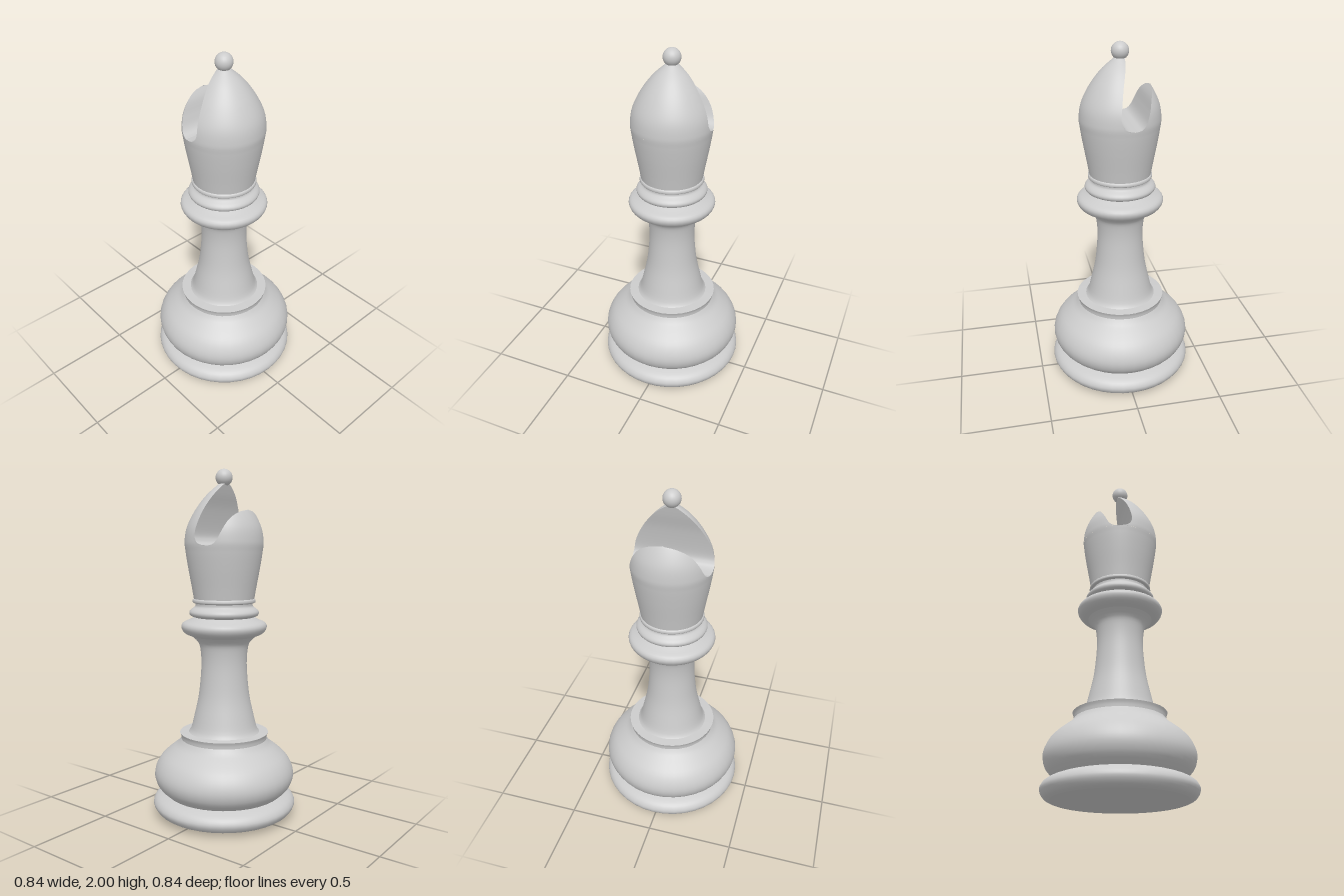
import * as THREE from 'three';

const material = new THREE.MeshStandardMaterial({ color: 0xcccccc });
const SEGMENTS = 40;
const vectors = (pairs) => pairs.map(([x, y]) => new THREE.Vector2(x, y));

// Each turned part: name, smooth profile (radius, height) from bottom to top
const turnedParts = [
  ['underside', [[0, 0], [0.2, 0.005], [0.37, 0.02]]],
  ['footRing', [[0.37, 0.02], [0.4, 0.035], [0.42, 0.07], [0.41, 0.1], [0.385, 0.12], [0.345, 0.135]]],
  ['baseBulge', [[0.345, 0.135], [0.39, 0.18], [0.41, 0.235], [0.402, 0.29], [0.37, 0.345], [0.32, 0.39], [0.275, 0.425], [0.252, 0.455]]],
  ['baseLip', [[0.252, 0.455], [0.254, 0.475], [0.26, 0.492]]],
  ['baseLipTop', [[0.26, 0.492], [0.205, 0.495]]],
  ['stem', [[0.21, 0.492], [0.192, 0.52], [0.172, 0.6], [0.15, 0.7], [0.138, 0.8], [0.132, 0.9], [0.137, 0.98], [0.15, 1.025], [0.185, 1.06]]],
  ['collar', [[0.185, 1.06], [0.228, 1.08], [0.247, 1.112], [0.237, 1.138], [0.2, 1.155], [0.17, 1.17]]],
  ['neckRing', [[0.17, 1.17], [0.194, 1.18], [0.201, 1.198], [0.19, 1.215], [0.167, 1.232], [0.165, 1.25]]],
  ['headRim', [[0.165, 1.25], [0.18, 1.255], [0.18, 1.27], [0.172, 1.277]]],
];

// Outline of the head, and the two sides of the slot rising from its lowest line
const headOutline = new THREE.SplineCurve(vectors([
  [0.174, 1.275], [0.185, 1.34], [0.205, 1.45], [0.219, 1.54], [0.224, 1.6],
  [0.21, 1.68], [0.165, 1.77], [0.105, 1.85], [0.045, 1.905], [0.012, 1.93],
])).getPoints(180);
const SLOT_Y = 1.575;
const slotRight = [[-0.05, SLOT_Y], [0, 1.583], [0.027, 1.605], [0.036, 1.65], [0.017, 1.77], [-0.008, 1.86], [-0.025, 1.928]];
const slotLeft = [[-0.05, SLOT_Y], [-0.08, 1.583], [-0.103, 1.61], [-0.122, 1.66], [-0.142, 1.725], [-0.17, 1.775]];

function headRadius(y) {
  const i = Math.max(1, headOutline.findIndex((p) => p.y >= y));
  const a = headOutline[i - 1], b = headOutline[i];
  return THREE.MathUtils.lerp(a.x, b.x, (y - a.y) / (b.y - a.y));
}

// Smooth surface over a grid of points, given as rows
function gridGeometry(rows) {
  const cols = rows[0].length, index = [];
  for (let i = 0; i < rows.length - 1; i++) {
    for (let j = 0; j < cols - 1; j++) {
      const a = i * cols + j, b = a + 1, c = b + cols, d = a + cols;
      index.push(a, b, d, b, c, d);
    }
  }
  const geometry = new THREE.BufferGeometry();
  geometry.setAttribute('position', new THREE.Float32BufferAttribute(rows.flat(2), 3));
  geometry.setIndex(index);
  geometry.computeVertexNormals();
  return geometry;
}

// One side of the split head: an outer shell and a slot wall; side is +1 or -1
function headHalf(name, slotPoints, side) {
  const shell = [], wall = [];
  for (const p of new THREE.SplineCurve(vectors(slotPoints)).getPoints(48)) {
    const r = headRadius(p.y);
    const phi = Math.acos(THREE.MathUtils.clamp((side * p.x) / r, -1, 1));
    const shellRow = [], wallRow = [];
    for (let j = 0; j <= 32; j++) {
      const angle = phi * (1 - j / 16);
      shellRow.push([side * r * Math.cos(angle), p.y, side * r * Math.sin(angle)]);
    }
    for (let j = 0; j <= 8; j++) {
      wallRow.push([side * r * Math.cos(phi), p.y, side * r * Math.sin(phi) * (j / 4 - 1)]);
    }
    shell.push(shellRow);
    wall.push(wallRow);
  }
  const group = new THREE.Group();
  group.name = name;
  group.add(mesh('outerShell', gridGeometry(shell)), mesh('slotWall', gridGeometry(wall)));
  return group;
}

function mesh(name, geometry) {
  const m = new THREE.Mesh(geometry, material);
  m.name = name;
  return m;
}

export function createModel() {
  const model = new THREE.Group();
  model.name = 'chessBishop';

  // Base, stem and rings
  for (const [name, points] of turnedParts) {
    const profile = new THREE.SplineCurve(vectors(points)).getPoints((points.length - 1) * 3);
    model.add(mesh(name, new THREE.LatheGeometry(profile, SEGMENTS)));
  }

  // Head below the slot
  const lower = headOutline.filter((p) => p.y < SLOT_Y - 0.002);
  lower.push(new THREE.Vector2(headRadius(SLOT_Y), SLOT_Y));
  model.add(mesh('lowerHead', new THREE.LatheGeometry(lower, SEGMENTS)));

  // Head on either side of the slot
  model.add(headHalf('headPeak', slotRight, 1), headHalf('headHorn', slotLeft, -1));

  // Ball on top
  const ball = mesh('finial', new THREE.SphereGeometry(0.048, 24, 16));
  ball.position.y = 1.952;
  model.add(ball);

  return model;
}
